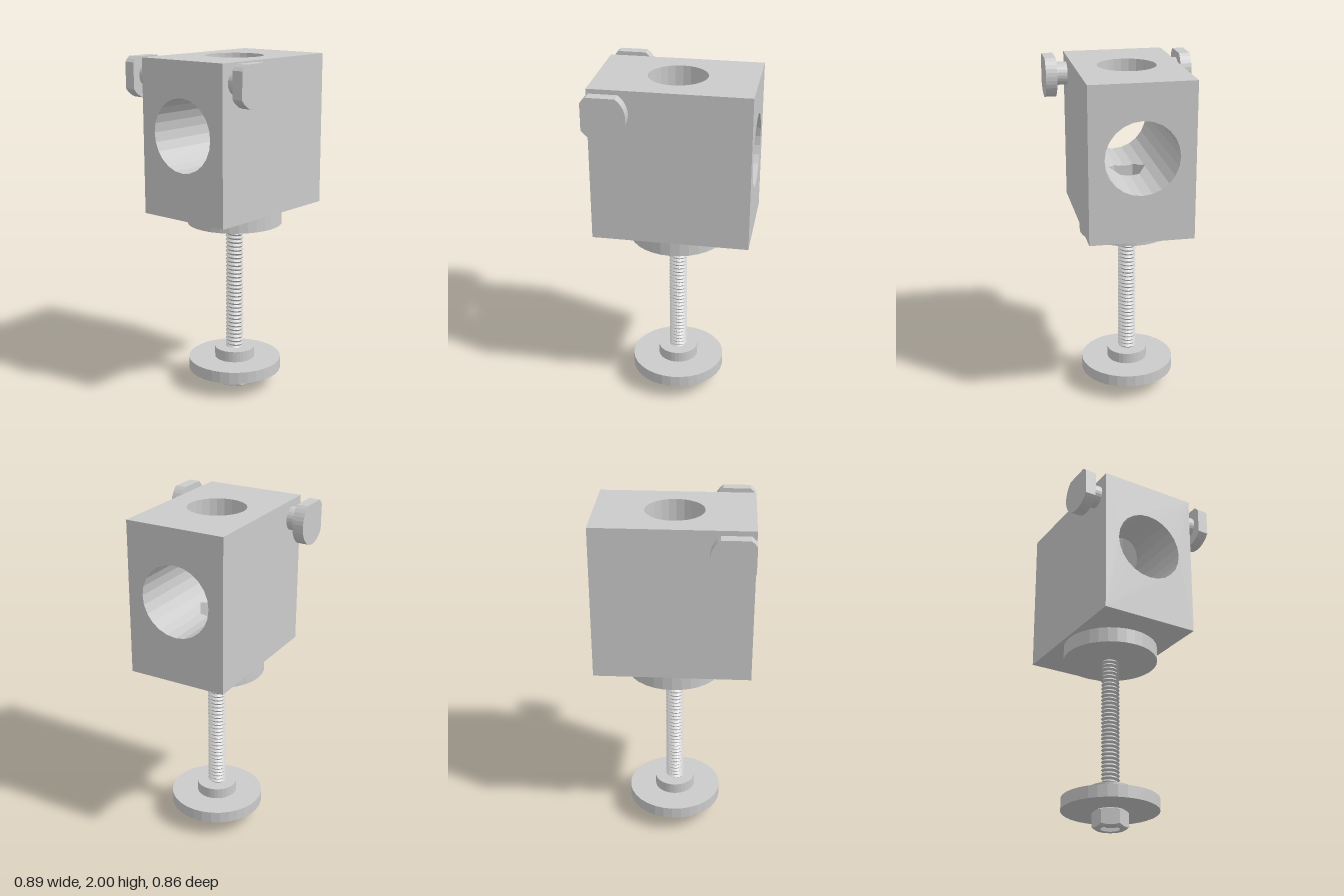
import * as THREE from 'three';

const W = 0.447, D = 0.296, TOP = 2, BOTTOM = 1.11;   // block
const BORE_Y = 1.588, BORE_R = 0.208;                 // tunnel along x
const WELL_R = 0.168, HEX_R = 0.11, POCKET_Y = 1.2;   // well from the top, hex pocket below
const SIDES = 24;

const grey = new THREE.MeshStandardMaterial({ color: 0xcccccc, flatShading: true });
const greyDouble = new THREE.MeshStandardMaterial({ color: 0xcccccc, flatShading: true, side: THREE.DoubleSide });

function add(parent, name, geometry, material = grey) {
  const mesh = new THREE.Mesh(geometry, material);
  mesh.name = name;
  parent.add(mesh);
  return mesh;
}

// Surface through a grid of points: point(i, j) with i along and j across
function grid(ni, nj, point) {
  const pos = [], idx = [];
  for (let i = 0; i <= ni; i++) for (let j = 0; j <= nj; j++) pos.push(...point(i, j));
  for (let i = 0; i < ni; i++) for (let j = 0; j < nj; j++) {
    const a = i * (nj + 1) + j, b = a + nj + 1;
    idx.push(a, b, a + 1, b, b + 1, a + 1);
  }
  const g = new THREE.BufferGeometry();
  g.setAttribute('position', new THREE.Float32BufferAttribute(pos, 3));
  g.setIndex(idx);
  g.computeVertexNormals();
  return g;
}

function cylinder(parent, name, r, y0, y1, sides = 32) {
  const mesh = add(parent, name, new THREE.CylinderGeometry(r, r, y1 - y0, sides));
  mesh.position.y = (y0 + y1) / 2;
  return mesh;
}

// Regular polygon with one corner on the second axis
function polygon(r, n, cx = 0, cy = 0) {
  return Array.from({ length: n }, (_, k) => {
    const t = Math.PI / 2 + k * 2 * Math.PI / n;
    return new THREE.Vector2(cx + r * Math.cos(t), cy + r * Math.sin(t));
  });
}

// Half-width in x of that polygon at depth z (0 outside it)
function halfWidth(r, n, z) {
  let w = Infinity;
  for (let k = 0; k < n; k++) {
    const t = Math.PI / 2 + (k + 0.5) * 2 * Math.PI / n;
    if (Math.cos(t) > 1e-6) w = Math.min(w, (r * Math.cos(Math.PI / n) - z * Math.sin(t)) / Math.cos(t));
  }
  return Math.max(0, w);
}

// Height of the tunnel surface above (s = 1) or below (s = -1) its axis
const tunnelY = (z, s) => BORE_Y + s * Math.sqrt(BORE_R ** 2 - z * z);

// Rectangular face of the block with an optional polygonal opening
function face(w, y0, y1, hole) {
  const s = new THREE.Shape([[-w, y0], [w, y0], [w, y1], [-w, y1]].map(p => new THREE.Vector2(...p)));
  if (hole) s.holes.push(new THREE.Path(hole));
  return new THREE.ShapeGeometry(s);
}

// Upright wall that follows a polygon from the tunnel to a flat level
function shaft(points, side, level) {
  const sub = 6, n = points.length;
  return grid(n * sub, 1, (i, j) => {
    const k = Math.floor(i / sub) % n;
    const p = points[k].clone().lerp(points[(k + 1) % n], (i % sub) / sub);
    return [p.x, j ? level : tunnelY(p.y, side), p.y];
  });
}

// Tunnel facets, cut back in x where the well and the pocket open
function tunnel(dir) {
  const ring = polygon(BORE_R, SIDES), line = [];
  ring.forEach((a, k) => {
    const b = ring[(k + 1) % SIDES];
    const ts = [0, 0.2, 0.4, 0.6, 0.8];
    const limit = a.y + b.y > 0 ? WELL_R : HEX_R;
    for (const z of [limit, -limit]) {
      const t = (z - a.x) / (b.x - a.x);
      if (t > 0 && t < 1) ts.push(t);
    }
    ts.sort((p, q) => p - q).forEach(t => line.push(a.clone().lerp(b, t)));
  });
  line.push(line[0]);
  return grid(line.length - 1, 1, (i, j) => {
    const { x: z, y } = line[i];
    const w = y > 0 ? halfWidth(WELL_R, SIDES, z) : halfWidth(HEX_R, 6, z);
    return [dir * (j ? W : w), BORE_Y + y, z];
  });
}

// Hexagon with chamfered corners; rIn > 0 leaves a bore
function hexBody(r, h, rIn) {
  const n = 48, flat = r * Math.cos(Math.PI / 6), rim = flat * 0.95;
  return grid(n, 5, (i, j) => {
    const t = i * 2 * Math.PI / n, m = Math.PI / 3;
    const hex = flat / Math.cos((t % m) - m / 2);
    const drop = (hex - rim) * 0.6;
    const [rad, y] = [[rIn, 0], [rim, 0], [hex, drop], [hex, h - drop], [rim, h], [rIn, h]][j];
    return [rad * Math.cos(t), y, rad * Math.sin(t)];
  });
}

// Helical thread: alternating root and crest rows that climb one pitch per turn
function thread(y0, y1, pitch, root, crest) {
  const n = 20, rows = 2 * Math.ceil((y1 - y0) / pitch) + 2;
  return grid(rows, n, (i, j) => {
    const t = j / n, a = t * 2 * Math.PI;
    const y = y0 + (i / 2 + t - 1) * pitch, r = i % 2 ? crest : root;
    return [r * Math.cos(a), THREE.MathUtils.clamp(y, y0, y1), r * Math.sin(a)];
  });
}

export function createModel() {
  const model = new THREE.Group();
  model.name = 'clampBlock';

  // Block with crossing bores
  const block = new THREE.Group();
  block.name = 'block';
  model.add(block);
  for (const s of [1, -1]) {
    const bore = polygon(BORE_R, SIDES, 0, BORE_Y);
    add(block, 'blockEnd', face(D, BOTTOM, TOP, bore).rotateY(s * Math.PI / 2).translate(s * W, 0, 0));
    add(block, 'blockSide', face(W, BOTTOM, TOP).rotateY(s > 0 ? 0 : Math.PI).translate(0, 0, s * D));
    add(block, 'tunnelHalf', tunnel(s), greyDouble);
  }
  add(block, 'blockTop', face(W, -D, D, polygon(WELL_R, SIDES)).rotateX(-Math.PI / 2).translate(0, TOP, 0));
  add(block, 'blockBottom', face(W, -D, D).rotateX(Math.PI / 2).translate(0, BOTTOM, 0));
  add(block, 'wellWall', shaft(polygon(WELL_R, SIDES), 1, TOP), greyDouble);
  add(block, 'pocketWall', shaft(polygon(HEX_R, 6), -1, POCKET_Y), greyDouble);
  add(block, 'pocketFloor', new THREE.ShapeGeometry(new THREE.Shape(polygon(HEX_R, 6)))
    .rotateX(-Math.PI / 2).translate(0, POCKET_Y, 0));

  // Collar under the block
  cylinder(model, 'collar', 0.28, 1.02, BOTTOM);

  // Bolt: head in the pocket, core and thread
  const head = add(model, 'boltHead', hexBody(0.106, 0.09, 0), greyDouble);
  head.position.y = POCKET_Y;
  head.rotation.y = 0.35;
  cylinder(model, 'boltCore', 0.042, 0.02, POCKET_Y, 20);
  add(model, 'boltThread', thread(0.02, 1.04, 0.024, 0.041, 0.054), greyDouble);

  // Foot: plate, boss and nut
  cylinder(model, 'footPlate', 0.28, 0.1, 0.17);
  cylinder(model, 'footBoss', 0.12, 0.17, 0.235);
  add(model, 'nut', hexBody(0.105, 0.1, 0.055), greyDouble);

  // Side pins near the top corner, their caps trimmed flush with the block
  const px = -0.337, py = 1.893, capR = 0.133, neckEnd = 0.365;
  const outline = [];
  const a0 = Math.asin((TOP - py) / capR), a1 = Math.acos((-W - px) / capR);
  const arc = (from, to, n) => {
    for (let i = 0; i <= n; i++) {
      const t = from + (to - from) * i / n;
      outline.push(new THREE.Vector2(px + capR * Math.cos(t), py + capR * Math.sin(t)));
    }
  };
  arc(a1 - 2 * Math.PI, a0, 0);
  outline.length = 0;
  arc(-a1, a0, 20);
  if (Math.PI - a0 < a1) arc(Math.PI - a0, a1, 2);
  else outline.push(new THREE.Vector2(-W, TOP));
  for (const s of [1, -1]) {
    const pin = new THREE.Group();
    pin.name = s > 0 ? 'frontPin' : 'backPin';
    model.add(pin);
    const neck = add(pin, 'pinNeck', new THREE.CylinderGeometry(0.067, 0.067, 0.09, SIDES).rotateX(Math.PI / 2));
    neck.position.set(px, py, s * (neckEnd - 0.04));
    const cap = new THREE.ExtrudeGeometry(new THREE.Shape(outline), { depth: 0.065, bevelEnabled: false });
    add(pin, 'pinCap', cap.translate(0, 0, s > 0 ? neckEnd : -neckEnd - 0.065));
  }
  return model;
}
